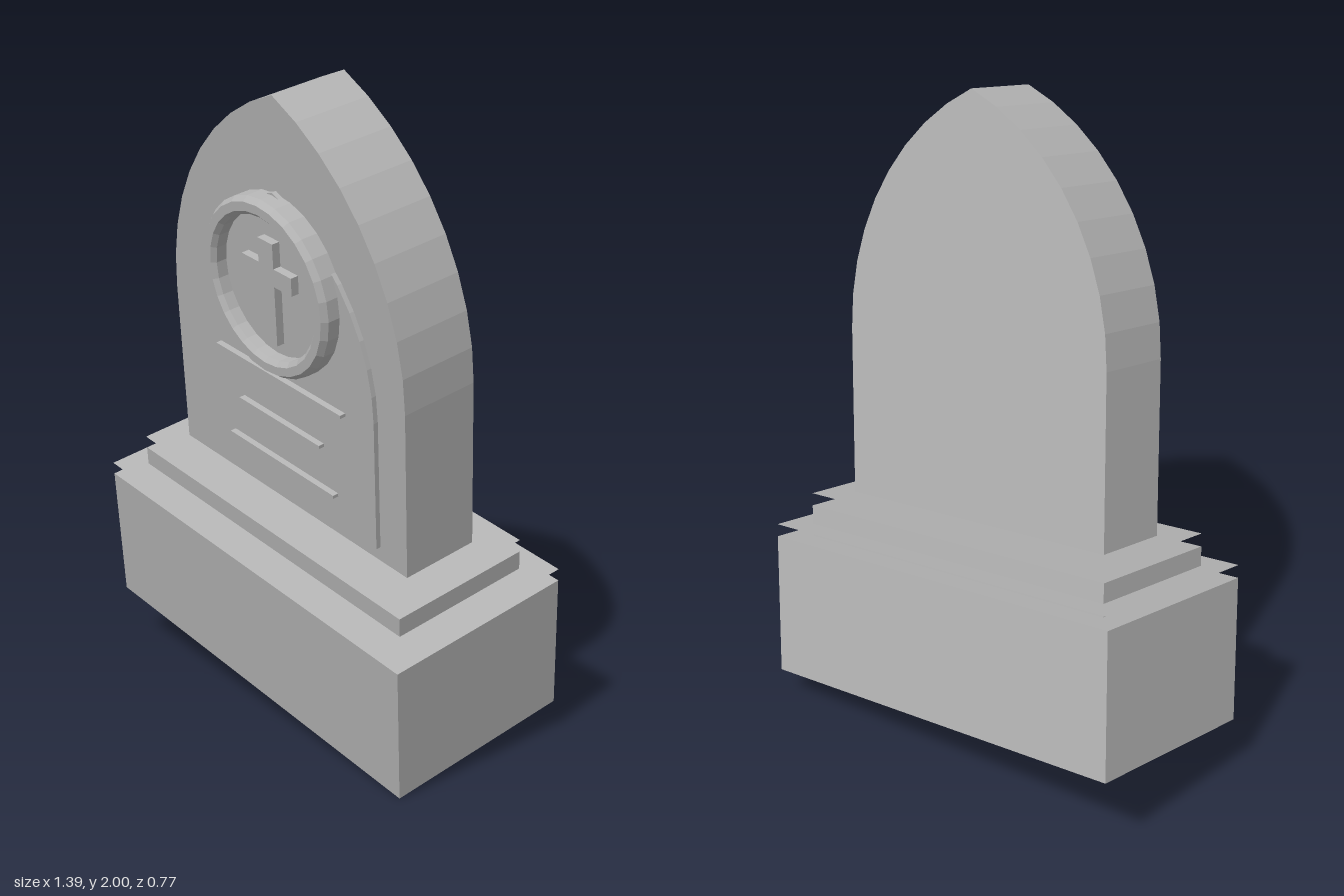
import * as THREE from 'three';

const stone = new THREE.MeshStandardMaterial({ color: 0xb4b4b4 });
stone.name = 'grey stone';
const slabStone = new THREE.MeshStandardMaterial({ color: 0xb4b4b4, side: THREE.DoubleSide });
slabStone.name = 'grey stone, two sided';

function add(group, name, geometry, x, y, z, material = stone) {
  const mesh = new THREE.Mesh(geometry, material);
  mesh.name = name;
  mesh.position.set(x, y, z);
  group.add(mesh);
  return mesh;
}

// Pointed arch outline: straight sides up to the spring line, then two arcs
function gothicArch(half, bottom, spring, apex, steps) {
  const rise = apex - spring;
  const c = (half * half - rise * rise) / (2 * half);
  const radius = half - c;
  const end = Math.atan2(rise, -c);
  const right = [];
  for (let i = 0; i <= steps; i++) {
    const a = (end * i) / steps;
    right.push(new THREE.Vector2(c + radius * Math.cos(a), spring + radius * Math.sin(a)));
  }
  const left = right.slice(0, -1).reverse().map((p) => new THREE.Vector2(-p.x, p.y));
  return new THREE.Shape([
    new THREE.Vector2(-half, bottom), new THREE.Vector2(half, bottom), ...right, ...left,
  ]);
}

const extrude = (shape, depth) => new THREE.ExtrudeGeometry(shape, { depth, bevelEnabled: false });

export function createModel() {
  const model = new THREE.Group();
  model.name = 'gravestone';

  // The whole stone leans forward and sideways
  const leaning = new THREE.Group();
  leaning.name = 'leaningStone';
  leaning.rotation.set(0.162, 0, -0.143);
  leaning.position.set(-0.035, 0.146, -0.0625);
  model.add(leaning);

  // Two plinth tiers, each with a thin slab hovering above its top
  const tiers = [
    { name: 'base', w: 1.338, d: 0.623, y0: 0, y1: 0.45 },
    { name: 'step', w: 1.18, d: 0.462, y0: 0.45, y1: 0.55 },
  ];
  for (const { name, w, d, y0, y1 } of tiers) {
    add(leaning, name, new THREE.BoxGeometry(w, y1 - y0, d), 0, (y0 + y1) / 2, 0);
    const slab = new THREE.PlaneGeometry(w, d).rotateX(-Math.PI / 2);
    add(leaning, name + 'Slab', slab, 0, y1 + 0.04, 0, slabStone);
  }

  // Tablet and its raised front panel
  add(leaning, 'tablet', extrude(gothicArch(0.505, 0.55, 1.12, 1.875, 9), 0.25), 0, 0, -0.125);
  add(leaning, 'frontPanel', extrude(gothicArch(0.395, 0.637, 1.05, 1.6, 9), 0.015), 0, 0, 0.125);

  // Round medallion with a stepped rim and sunken face
  const profile = [
    [0.267, 0.125], [0.267, 0.178], [0.254, 0.195], [0.228, 0.195],
    [0.215, 0.182], [0.215, 0.148], [0, 0.148],
  ].map(([r, z]) => new THREE.Vector2(r, z));
  const rim = new THREE.LatheGeometry(profile, 28).rotateX(Math.PI / 2).toNonIndexed();
  rim.computeVertexNormals();
  add(leaning, 'medallion', rim, 0, 1.325, 0);

  // Cross inside the medallion
  const w = 0.032, arm = 0.107, top = 0.158, a0 = 0.028, a1 = 0.083;
  const cross = new THREE.Shape([
    [-w, -top], [w, -top], [w, a0], [arm, a0], [arm, a1], [w, a1],
    [w, top], [-w, top], [-w, a1], [-arm, a1], [-arm, a0], [-w, a0],
  ].map(([x, y]) => new THREE.Vector2(x, y)));
  add(leaning, 'cross', extrude(cross, 0.025), 0, 1.31, 0.148);

  // Three narrow ridges below the medallion
  for (const [length, y] of [[0.555, 1.026], [0.36, 0.882], [0.47, 0.741]]) {
    add(leaning, 'ridge', new THREE.BoxGeometry(length, 0.01, 0.03), 0, y, 0.144);
  }

  return model;
}
